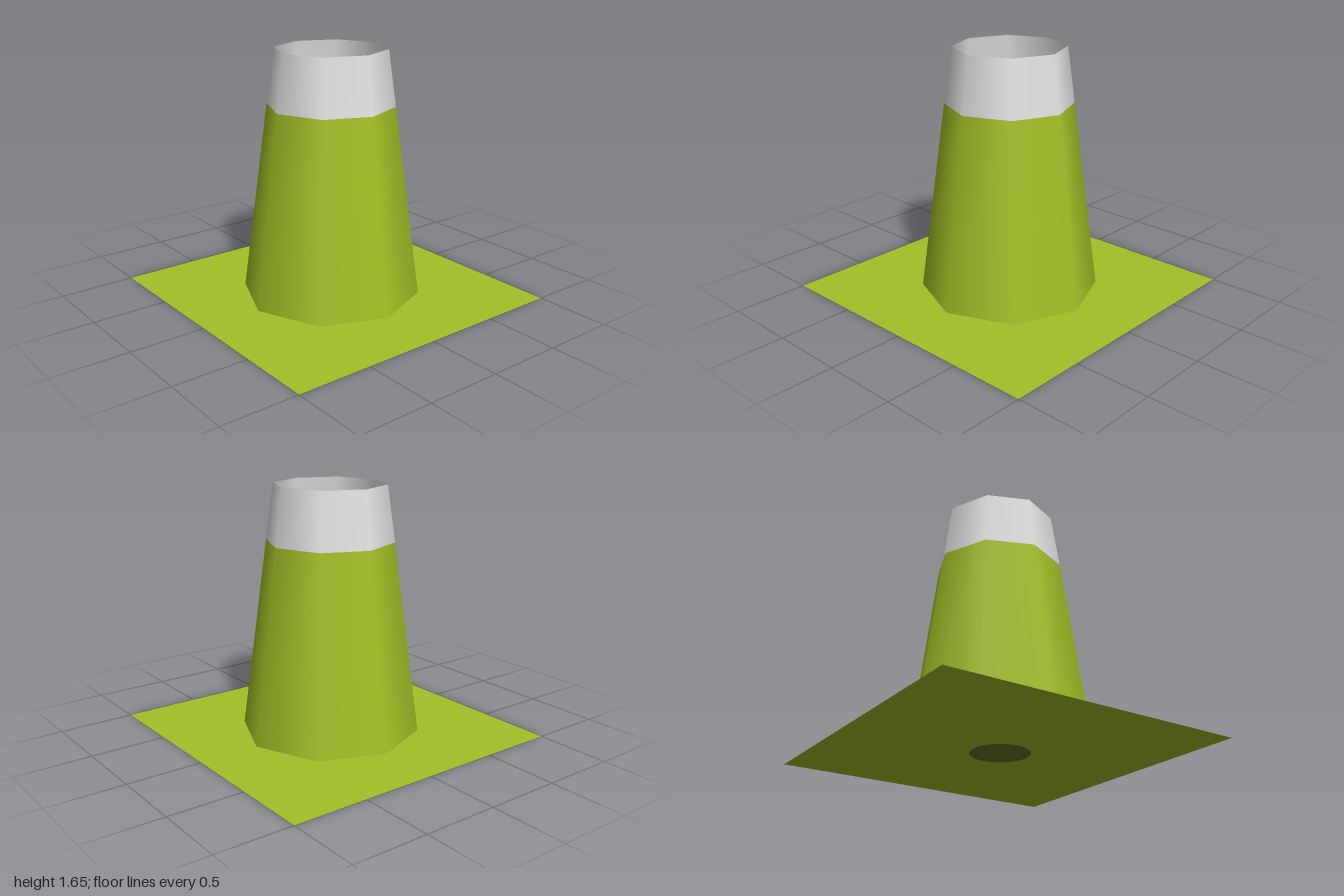
import * as THREE from 'three';

function flatMaterial(name, color) {
  const material = new THREE.MeshStandardMaterial({ color, side: THREE.DoubleSide });
  material.name = name;
  return material;
}

export function createModel() {
  const group = new THREE.Group();
  group.name = 'trafficCone';
  const lime = flatMaterial('lime', 0xa2c026);
  const paleGrey = flatMaterial('pale grey', 0xe2e2e2);
  const darkOlive = flatMaterial('dark olive', 0x647229);

  const add = (name, geometry, material) => {
    const mesh = new THREE.Mesh(geometry, material);
    mesh.name = name;
    group.add(mesh);
  };

  // Open eight-sided sleeve, tapering evenly from the floor to the rim
  const radiusAt = (y) => THREE.MathUtils.mapLinear(y, 0, 1.65, 0.595, 0.37);
  const sleeve = (y0, y1) =>
    new THREE.CylinderGeometry(radiusAt(y1), radiusAt(y0), y1 - y0, 8, 1, true)
      .translate(0, (y0 + y1) / 2, 0);
  add('coneBody', sleeve(0, 1.28), lime);
  add('topBand', sleeve(1.28, 1.65), paleGrey);

  // Flat square base sheet with a round opening, filled by the dark spot
  const spotX = 0.03, spotZ = -0.025, spotRadius = 0.193;
  const sheet = new THREE.Shape([
    new THREE.Vector2(-1, -1), new THREE.Vector2(1, -1),
    new THREE.Vector2(1, 1), new THREE.Vector2(-1, 1),
  ]);
  const opening = new THREE.Path().absarc(spotX, -spotZ, spotRadius, 0, Math.PI * 2, true);
  sheet.holes.push(opening);
  add('baseSheet', new THREE.ShapeGeometry(sheet, 24).rotateX(-Math.PI / 2), lime);
  add('floorSpot',
    new THREE.CircleGeometry(spotRadius, 48).rotateX(-Math.PI / 2).translate(spotX, 0, spotZ),
    darkOlive);

  return group;
}
